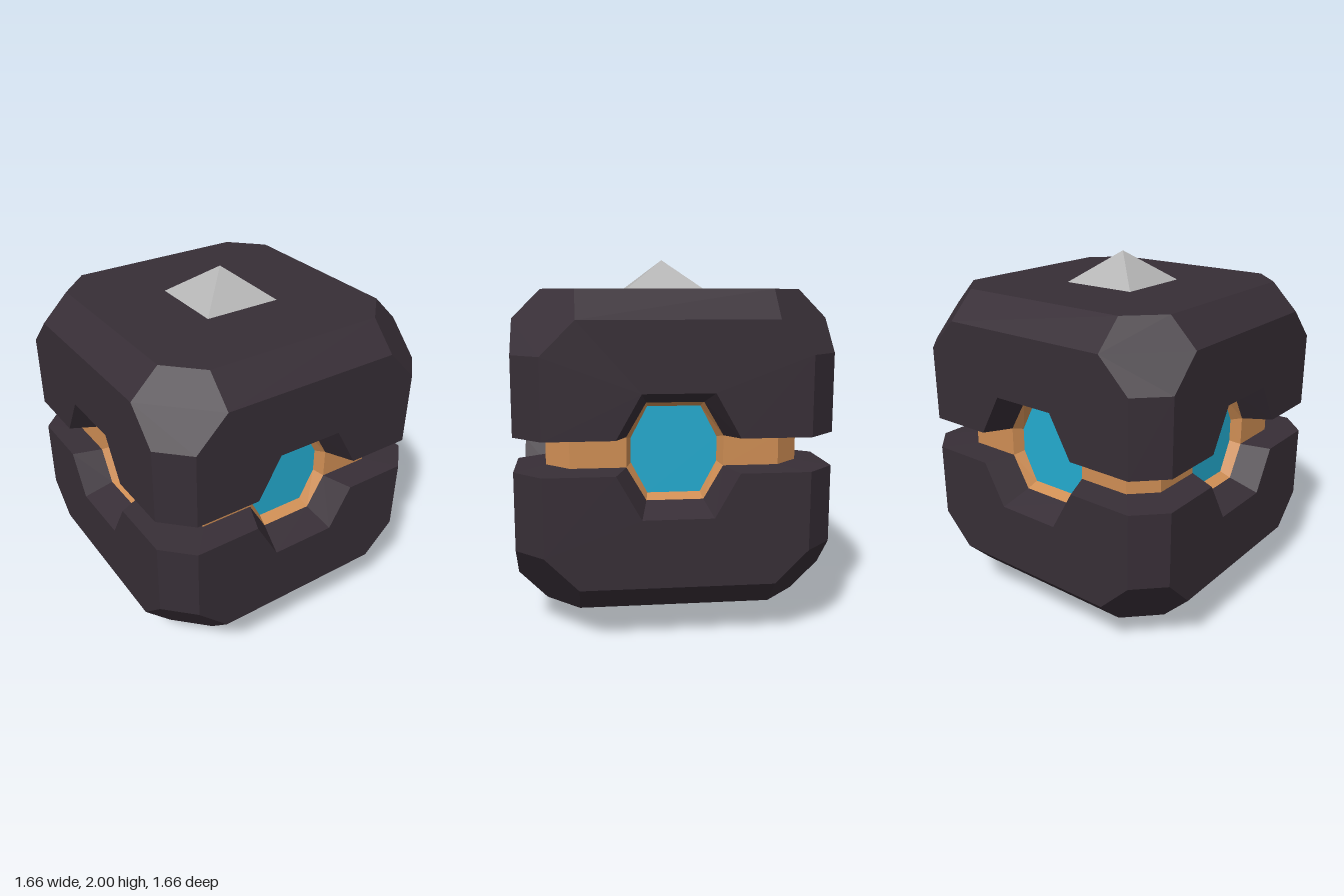
import * as THREE from 'three';

const mat = (name, color) => {
  const m = new THREE.MeshStandardMaterial({ color });
  m.name = name;
  return m;
};

// Flat-shaded mesh from convex faces; each face is { pts, out }, out being a rough outward direction
function facetMesh(name, faces, material) {
  const pos = [];
  const ab = new THREE.Vector3(), ac = new THREE.Vector3();
  for (const { pts, out } of faces) {
    ab.subVectors(pts[1], pts[0]);
    ac.subVectors(pts[2], pts[0]);
    const order = ab.cross(ac).dot(out) < 0 ? [...pts].reverse() : pts;
    for (let i = 1; i < order.length - 1; i++) {
      for (const p of [order[0], order[i], order[i + 1]]) pos.push(p.x, p.y, p.z);
    }
  }
  const geo = new THREE.BufferGeometry();
  geo.setAttribute('position', new THREE.Float32BufferAttribute(pos, 3));
  geo.computeVertexNormals();
  const mesh = new THREE.Mesh(geo, material);
  mesh.name = name;
  return mesh;
}

const face = (out, ...pts) => ({
  out: new THREE.Vector3(...out),
  pts: pts.map((p) => new THREE.Vector3(...p)),
});

// Repeat faces around the four sides
const UP = new THREE.Vector3(0, 1, 0);
const fourSides = (faces) => [0, 1, 2, 3].flatMap((k) => faces.map((f) => ({
  out: f.out.clone().applyAxisAngle(UP, k * Math.PI / 2),
  pts: f.pts.map((p) => p.clone().applyAxisAngle(UP, k * Math.PI / 2)),
})));

// Mirror faces in one axis
const mirror = (faces, axis) => faces.map((f) => {
  const flip = (v) => { const c = v.clone(); c[axis] *= -1; return c; };
  return { out: flip(f.out), pts: f.pts.map(flip) };
});

export function createModel() {
  const shellMat = mat('dark shell', 0x372e36);
  const goldMat = mat('copper', 0xcf8e54);
  const glowMat = mat('blue lens', 0x24abcf);
  const spikeMat = mat('grey spike', 0xb4b4b4);

  const group = new THREE.Group();
  group.name = 'splitCube';
  const body = new THREE.Group(); // built around its own centre
  body.name = 'body';
  body.position.y = 1;
  group.add(body);

  // Chamfered cube: flat face F, face half-width M, short edge S
  const F = 0.83, M = 0.68, S = 0.505;
  const C = 0.67, D = 0.545;   // core surface and its corner cut
  const GO = 0.09, GI = 0.08;  // gap half-height outside and at the core

  // Half of the eight-sided opening, at the shell surface, core surface and lens
  const notchOut = [[0.315, GO], [0.185, 0.32]];
  const notchIn = [[0.253, GI], [0.15, 0.257]];
  const lensEdge = [[0.227, 0.065], [0.14, 0.23]];
  const L = 0.61;

  // Side pieces that have a left and right copy
  const [[ox, oy], [px, py]] = notchOut;
  const [[ix, iy], [jx, jy]] = notchIn;
  const sidePieces = [
    face([0, 0, 1], [M, M, F], [px, py, F], [ox, oy, F], [M, oy, F]),
    face([-1, -0.5, 0], [ox, oy, F], [px, py, F], [jx, jy, C], [ix, iy, C]),
    face([0, -1, 0], [ox, oy, F], [M, GO, F], [D, GI, C], [ix, iy, C]),
  ];
  const shellSide = [
    ...sidePieces, ...mirror(sidePieces, 'x'),
    // front panel above the notch, and notch roof
    face([0, 0, 1], [-S, M, F], [-M, S, F], [-px, py, F], [px, py, F], [M, S, F], [S, M, F]),
    face([0, -1, 0], [-px, py, F], [px, py, F], [jx, jy, C], [-jx, jy, C]),
    // top bevel, corner hexagon, upright corner bevel, corner of the gap
    face([0, 1, 1], [-S, M, F], [S, M, F], [S, F, M], [-S, F, M]),
    face([1, 1, 1], [S, F, M], [M, F, S], [F, M, S], [F, S, M], [M, S, F], [S, M, F]),
    face([1, 0, 1], [M, S, F], [F, S, M], [F, GO, M], [M, GO, F]),
    face([0, -1, 0], [M, GO, F], [F, GO, M], [C, GI, D], [D, GI, C]),
  ];
  // keep the side panels' top corner on the bevel line
  for (const f of shellSide) {
    for (const p of f.pts) if (Math.abs(p.x) === M && p.y === M && p.z === F) p.y = S;
  }
  const upper = [
    ...fourSides(shellSide),
    face([0, 1, 0], [S, F, M], [M, F, S], [M, F, -S], [S, F, -M],
      [-S, F, -M], [-M, F, -S], [-M, F, S], [-S, F, M]),
  ];
  body.add(facetMesh('upperShell', upper, shellMat));
  body.add(facetMesh('lowerShell', mirror(upper, 'y'), shellMat));

  // Core band seen in the gap
  const bandHalf = [face([0, 0, 1], [ix, -GI, C], [D, -GI, C], [D, GI, C], [ix, GI, C])];
  const band = [
    ...bandHalf, ...mirror(bandHalf, 'x'),
    face([1, 0, 1], [D, -GI, C], [C, -GI, D], [C, GI, D], [D, GI, C]),
  ];
  body.add(facetMesh('coreBand', fourSides(band), goldMat));

  // Sloped rims and lenses on the four sides
  const loop = ([a, b], z) => [
    [a[0], a[1], z], [b[0], b[1], z], [-b[0], b[1], z], [-a[0], a[1], z],
    [-a[0], -a[1], z], [-b[0], -b[1], z], [b[0], -b[1], z], [a[0], -a[1], z],
  ];
  const rimOut = loop(notchIn, C), rimIn = loop(lensEdge, L);
  const rim = rimOut.map((p, i) => {
    const n = (i + 1) % 8;
    return face([0, 0, 1], p, rimOut[n], rimIn[n], rimIn[i]);
  });
  body.add(facetMesh('lensRims', fourSides(rim), goldMat));
  body.add(facetMesh('lenses', fourSides([face([0, 0, 1], ...rimIn)]), glowMat));

  // Top and bottom pyramid spikes
  const b = 0.22;
  const spike = fourSides([face([0, 1, 1], [-b, F, b], [b, F, b], [0, 1, 0])]);
  body.add(facetMesh('topSpike', spike, spikeMat));
  body.add(facetMesh('bottomSpike', mirror(spike, 'y'), spikeMat));

  return group;
}
